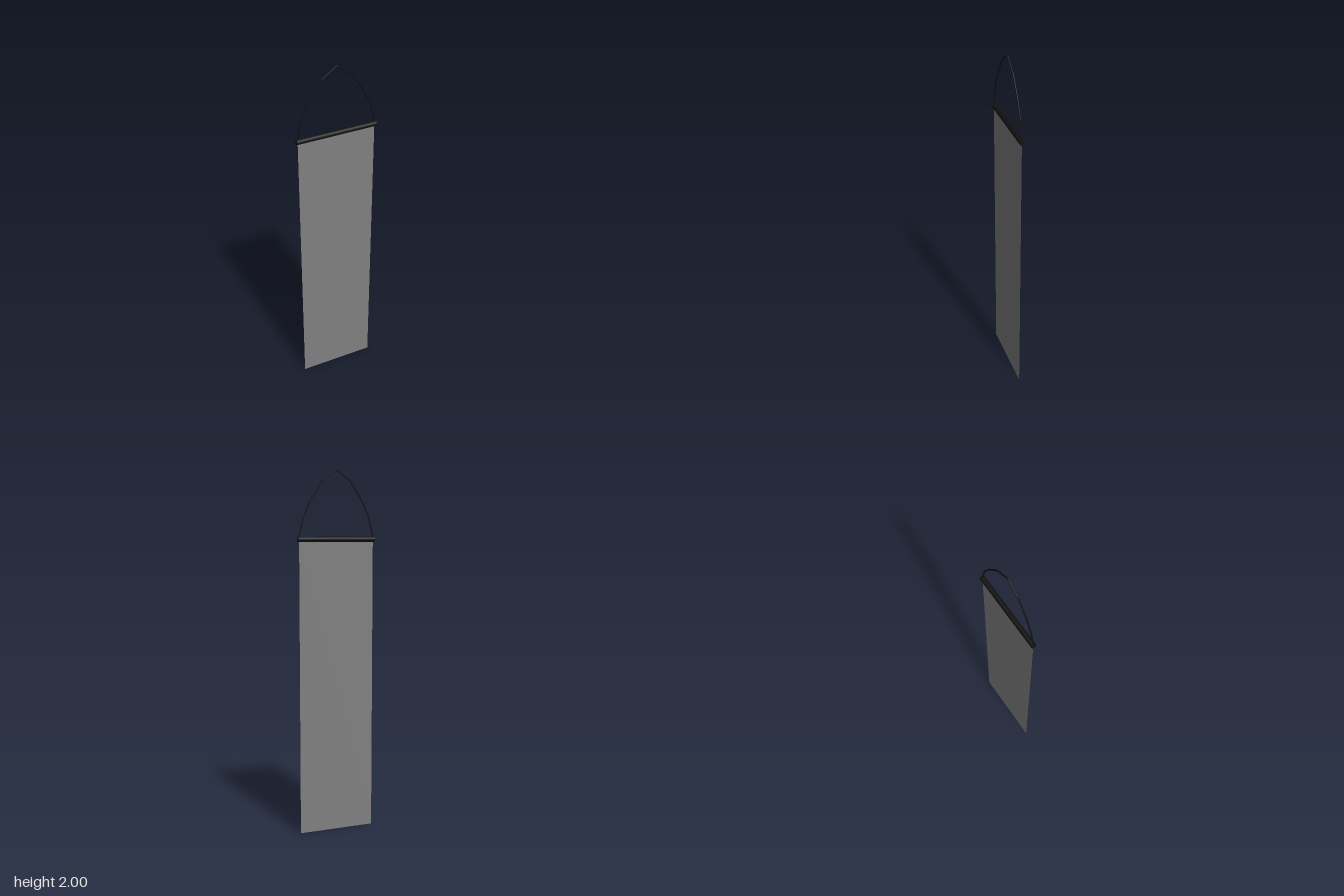
import * as THREE from 'three';

export function createModel() {
  const group = new THREE.Group();
  const black = new THREE.MeshStandardMaterial({ color: 0x111111 });
  const cloth = new THREE.MeshStandardMaterial({ color: 0x808080, side: THREE.DoubleSide });
  const add = (name, geometry, material) => {
    const mesh = new THREE.Mesh(geometry, material);
    mesh.name = name;
    group.add(mesh);
    return mesh;
  };
  const rodY = 1.627;

  // Thin hanging cloth
  add('bannerCloth', new THREE.PlaneGeometry(0.43, rodY), cloth).position.y = rodY / 2;

  // Horizontal rod along the top edge
  const rod = add('topRod', new THREE.CylinderGeometry(0.014, 0.014, 0.444, 16), black);
  rod.rotation.z = Math.PI / 2;
  rod.position.y = rodY;

  // Hanging cord: straight segments, mirrored about the peak
  const half = [[0.218, 1.63], [0.19, 1.745], [0.147, 1.837], [0.081, 1.938]];
  const points = [
    ...half.map(([x, y]) => new THREE.Vector3(-x, y, 0)),
    new THREE.Vector3(0, 1.997, 0),
    ...half.map(([x, y]) => new THREE.Vector3(x, y, 0)).reverse(),
  ];
  const path = new THREE.CurvePath();
  for (let i = 1; i < points.length; i++) path.add(new THREE.LineCurve3(points[i - 1], points[i]));
  add('hangingCord', new THREE.TubeGeometry(path, 96, 0.004, 8, false), black);

  return group;
}
